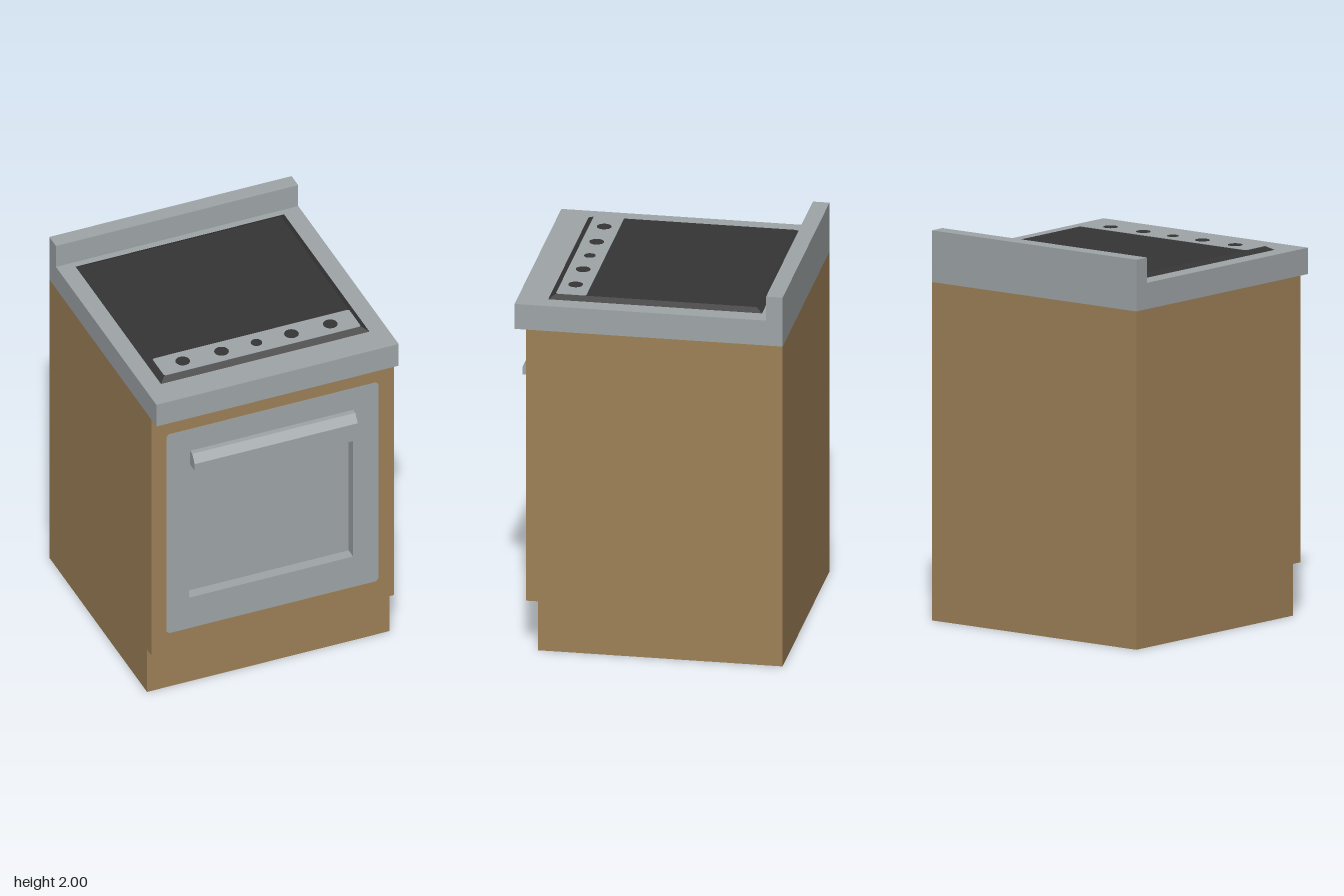
import * as THREE from 'three';

const material = (name, color) => Object.assign(new THREE.MeshStandardMaterial({ color }), { name });

// Rectangle with cut corners, as a point list
function cutRect(x0, x1, y0, y1, c) {
  return [[x0 + c, y0], [x1 - c, y0], [x1, y0 + c], [x1, y1 - c], [x1 - c, y1], [x0 + c, y1], [x0, y1 - c], [x0, y0 + c]]
    .map(([x, y]) => new THREE.Vector2(x, y));
}

const rect = (x0, x1, y0, y1) =>
  [[x0, y0], [x1, y0], [x1, y1], [x0, y1]].map(([x, y]) => new THREE.Vector2(x, y));

// Extrude an outline with an optional hole between two depths
function slab(points, hole, z0, z1) {
  const shape = new THREE.Shape(points);
  if (hole) shape.holes.push(new THREE.Path(hole));
  return new THREE.ExtrudeGeometry(shape, { depth: z1 - z0, bevelEnabled: false }).translate(0, 0, z0);
}

function box(x0, x1, y0, y1, z0, z1) {
  return new THREE.BoxGeometry(x1 - x0, y1 - y0, z1 - z0)
    .translate((x0 + x1) / 2, (y0 + y1) / 2, (z0 + z1) / 2);
}

export function createModel() {
  const wood = material('wood', 0x9e8158);
  const steel = material('steel', 0x9fa5a7);
  const glass = material('blackGlass', 0x353535);

  const group = new THREE.Group();
  group.name = 'cooker';
  const add = (name, geometry, mat) => {
    const mesh = new THREE.Mesh(geometry, mat);
    mesh.name = name;
    group.add(mesh);
  };

  const W = 0.665, back = -0.685;

  // Cabinet with a set-back plinth and a front frame around the door
  add('cabinet', box(-W, W, 0, 1.735, back, 0.57), wood);
  const doorOutline = cutRect(-0.585, 0.58, 0.38, 1.62, 0.015);
  add('frontFrame', slab(rect(-W, W, 0.265, 1.735), doorOutline, 0.57, 0.63), wood);

  // Oven door with a recessed panel
  add('ovenDoor', slab(doorOutline, rect(-0.46, 0.44, 0.57, 1.29), 0.57, 0.631), steel);
  add('doorRecess', box(-0.47, 0.45, 0.56, 1.3, 0.565, 0.573), steel);

  // Handle bar with a sloped upper front edge
  const profile = new THREE.Shape([[-0.63, 1.4], [-0.63, 1.485], [-0.66, 1.485], [-0.69, 1.44], [-0.69, 1.4]]
    .map(([x, y]) => new THREE.Vector2(x, y)));
  add('doorHandle', new THREE.ExtrudeGeometry(profile, { depth: 0.895, bevelEnabled: false })
    .rotateY(Math.PI / 2).translate(-0.455, 0, 0), steel);

  // Worktop and upstand in one L-shaped profile
  const top = new THREE.Shape([[-0.69, 1.735], [0.685, 1.735], [0.685, 2], [0.6, 2], [0.6, 1.87], [-0.69, 1.87]]
    .map(([x, y]) => new THREE.Vector2(x, y)));
  add('worktop', new THREE.ExtrudeGeometry(top, { depth: 2 * W, bevelEnabled: false })
    .rotateY(Math.PI / 2).translate(-W, 0, 0), steel);

  // Hob plate with sloped edges
  const hob = box(-0.573, 0.571, 1.87, 1.89, -0.562, 0.534);
  const p = hob.attributes.position;
  for (let i = 0; i < p.count; i++) {
    if (p.getY(i) < 1.88) continue;
    p.setX(i, p.getX(i) - Math.sign(p.getX(i)) * 0.032);
    p.setZ(i, p.getZ(i) - Math.sign(p.getZ(i)) * 0.033);
  }
  hob.computeVertexNormals();
  add('hob', hob, glass);

  // Control strip and its round touch controls
  add('controlStrip', slab(cutRect(-0.541, 0.539, -0.501, -0.345, 0.008), null, 0, 0.003)
    .rotateX(-Math.PI / 2).translate(0, 1.889, 0), steel);
  for (const [x, r] of [[-0.407, 0.037], [-0.194, 0.037], [-0.002, 0.029], [0.19, 0.037], [0.403, 0.037]]) {
    add('control', new THREE.CylinderGeometry(r, r, 0.003, 20).translate(x, 1.8925, 0.424), glass);
  }

  return group;
}
